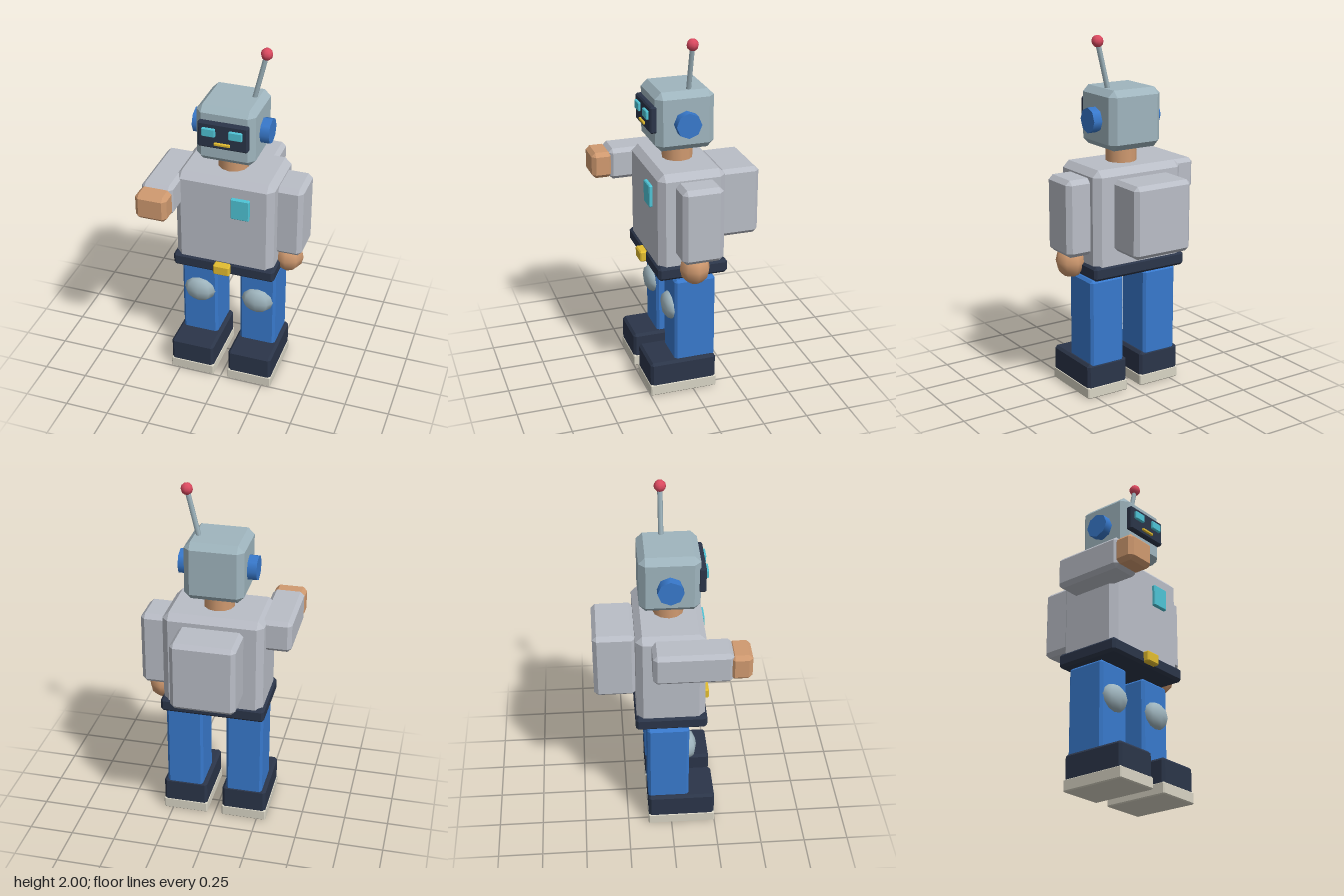
import * as THREE from 'three';
import { ConvexGeometry } from 'three/addons/geometries/ConvexGeometry.js';

const paint = (color, flat = false) => new THREE.MeshStandardMaterial({ color, flatShading: flat });

const SHELL = 0xb9bdc6, STEEL = 0x9fb5be, NAVY = 0x2b3549, BLUE = 0x3879cc;
const SKIN = 0xd09a70, YELLOW = 0xe3bd30, CYAN = 0x4fc4d6, RED = 0xdb4a60, SOLE = 0xd8d4c4;

// Box with flat 45 degree chamfers: three points at each of the eight corners.
function chamferGeometry(w, h, d, c) {
  const points = [];
  for (const sx of [-1, 1]) for (const sy of [-1, 1]) for (const sz of [-1, 1]) {
    const [x, y, z] = [w / 2, h / 2, d / 2];
    points.push(new THREE.Vector3(sx * x, sy * (y - c), sz * (z - c)));
    points.push(new THREE.Vector3(sx * (x - c), sy * y, sz * (z - c)));
    points.push(new THREE.Vector3(sx * (x - c), sy * (y - c), sz * z));
  }
  return new ConvexGeometry(points);
}

export function createModel() {
  const model = new THREE.Group();
  model.name = 'robot';

  const add = (name, geometry, material, x, y, z) => {
    const mesh = new THREE.Mesh(geometry, material);
    mesh.name = name;
    mesh.position.set(x, y, z);
    model.add(mesh);
    return mesh;
  };

  // Chamfered block given by its ranges along x, y and z.
  const block = (name, color, [x0, x1], [y0, y1], [z0, z1], c) =>
    add(name, chamferGeometry(x1 - x0, y1 - y0, z1 - z0, c), paint(color, true),
      (x0 + x1) / 2, (y0 + y1) / 2, (z0 + z1) / 2);

  // Low-sided ellipsoid.
  const ball = (name, color, x, y, z, rx, ry, rz) => {
    const mesh = add(name, new THREE.SphereGeometry(1, 8, 6), paint(color), x, y, z);
    mesh.scale.set(rx, ry, rz);
    return mesh;
  };

  // Torso, backpack, chest panel, belt
  block('torso', SHELL, [-0.28, 0.28], [0.74, 1.305], [-0.19, 0.187], 0.036);
  block('backpack', SHELL, [-0.178, 0.178], [0.86, 1.255], [-0.417, -0.185], 0.023);
  block('chestPanel', CYAN, [0.047, 0.152], [1.085, 1.21], [0.175, 0.206], 0.005);
  block('belt', NAVY, [-0.293, 0.293], [0.702, 0.782], [-0.197, 0.197], 0.015);
  block('buckle', YELLOW, [-0.047, 0.047], [0.713, 0.775], [0.18, 0.23], 0.007);

  // Neck and head
  add('neck', new THREE.CylinderGeometry(0.085, 0.085, 0.14, 12), paint(SKIN), 0, 1.35, 0);
  block('head', STEEL, [-0.163, 0.163], [1.39, 1.715], [-0.163, 0.163], 0.035);
  block('visor', NAVY, [-0.138, 0.138], [1.495, 1.642], [0.15, 0.192], 0.008);
  block('mouth', YELLOW, [-0.044, 0.044], [1.518, 1.534], [0.18, 0.203], 0.003);

  // Antenna
  const base = new THREE.Vector3(0.095, 1.67, -0.03), tip = new THREE.Vector3(0.167, 1.967, -0.03);
  const rod = add('antennaRod', new THREE.CylinderGeometry(0.014, 0.014, base.distanceTo(tip), 6),
    paint(STEEL), 0, 0, 0);
  rod.position.copy(base).lerp(tip, 0.5);
  rod.quaternion.setFromUnitVectors(new THREE.Vector3(0, 1, 0), tip.clone().sub(base).normalize());
  ball('antennaTip', RED, tip.x, tip.y, tip.z, 0.033, 0.033, 0.033);

  // Mirrored parts: eyes, ears, legs, knees, shoes
  for (const [side, s] of [['left', 1], ['right', -1]]) {
    const span = (a, b) => (s > 0 ? [a, b] : [-b, -a]);
    block(side + 'Eye', CYAN, span(0.037, 0.111), [1.566, 1.614], [0.18, 0.206], 0.004);
    const ear = add(side + 'Ear', new THREE.CylinderGeometry(0.07, 0.07, 0.08, 8), paint(BLUE), s * 0.174, 1.545, 0);
    ear.rotation.z = Math.PI / 2;
    block(side + 'Leg', BLUE, span(0.068, 0.278), [0.18, 0.685], [-0.132, 0.1], 0.014);
    ball(side + 'Knee', STEEL, s * 0.173, 0.492, 0.098, 0.094, 0.077, 0.05);
    block(side + 'Shoe', NAVY, span(0.046, 0.3), [0.05, 0.2], [-0.132, 0.247], 0.014);
    block(side + 'Sole', SOLE, span(0.043, 0.303), [0, 0.066], [-0.134, 0.25], 0.006);
  }

  // Left arm hangs down, right arm reaches forward
  block('leftArm', SHELL, [0.24, 0.416], [0.835, 1.26], [-0.13, 0.097], 0.025);
  ball('leftHand', SKIN, 0.325, 0.78, 0.005, 0.085, 0.092, 0.085);
  block('rightArm', SHELL, [-0.417, -0.24], [1.105, 1.285], [-0.106, 0.317], 0.022);
  block('rightHand', SKIN, [-0.417, -0.24], [1.12, 1.27], [0.297, 0.415], 0.022);

  return model;
}
